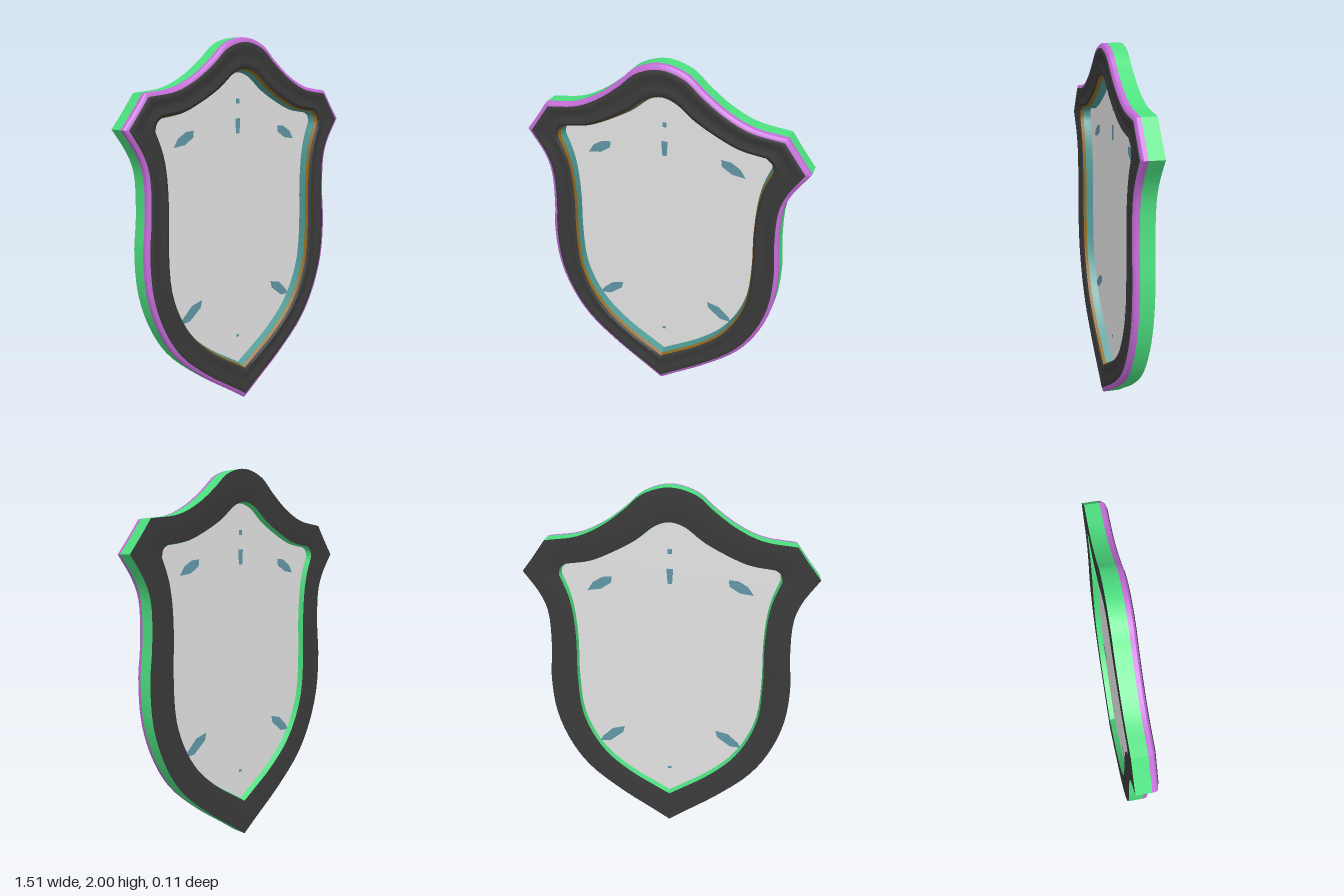
import * as THREE from 'three';
import { toCreasedNormals } from 'three/addons/utils/BufferGeometryUtils.js';

const mat = (name, color) => new THREE.MeshStandardMaterial({ name, color });
const V = ([x, y]) => new THREE.Vector3(x, y, 0);

// Samples a smooth curve through points; a crest is mirrored at x = 0 so its top stays round
function sample(points, n, crest = false) {
  const mirrored = crest ? points.slice(1).reverse().map(([x, y]) => [-x, y]) : [];
  const curve = new THREE.CatmullRomCurve3([...mirrored, ...points].map(V));
  const out = [];
  for (let i = 0; i < n; i++) out.push(curve.getPoint(crest ? 0.5 + (0.5 * i) / n : i / n));
  return out;
}

// Closed outline, clockwise from the top, from crest, shoulder and side runs of the +x half
function outline(crest, shoulder, side) {
  const half = [...sample(crest, 24, true), ...sample(shoulder, 8), ...sample(side, 36), V(side[side.length - 1])];
  const other = half.slice(1, -1).reverse().map((p) => new THREE.Vector3(-p.x, p.y, 0));
  return [...half, ...other];
}

const outer = outline(
  [[0, 2], [0.13, 1.965], [0.22, 1.89], [0.33, 1.81], [0.46, 1.75], [0.63, 1.725]],
  [[0.63, 1.725], [0.69, 1.643], [0.755, 1.56]],
  [[0.755, 1.56], [0.675, 1.44], [0.64, 1.34], [0.637, 1.13], [0.653, 0.95], [0.637, 0.73],
    [0.57, 0.53], [0.465, 0.365], [0.28, 0.2], [0.09, 0.065], [0, 0]]);
const inner = outline(
  [[0, 1.825], [0.07, 1.805], [0.17, 1.73], [0.29, 1.665], [0.4, 1.62], [0.525, 1.6]],
  [[0.525, 1.6], [0.553, 1.58], [0.56, 1.545]],
  [[0.56, 1.545], [0.525, 1.45], [0.505, 1.35], [0.495, 1.18], [0.5, 0.97], [0.485, 0.74],
    [0.425, 0.575], [0.34, 0.45], [0.21, 0.335], [0.08, 0.25], [0, 0.2]]);

// t = 0 is the outer edge of the rim, t = 1 the inner edge
const between = (i, t, z) => outer[i].clone().lerp(inner[i], t).setZ(z);

// Ring swept around the shield through profile steps [t, z]
function band(name, profile, material) {
  const n = outer.length, m = profile.length, pos = [], idx = [];
  for (let i = 0; i < n; i++) {
    for (const [t, z] of profile) pos.push(...between(i, t, z).toArray());
    for (let j = 0; j < m - 1; j++) {
      const a = i * m + j, b = ((i + 1) % n) * m + j;
      idx.push(a, a + 1, b, b, a + 1, b + 1);
    }
  }
  const geo = new THREE.BufferGeometry();
  geo.setAttribute('position', new THREE.Float32BufferAttribute(pos, 3));
  geo.setIndex(idx);
  const mesh = new THREE.Mesh(toCreasedNormals(geo, 0.6), material);
  mesh.name = name;
  return mesh;
}

function plate(name, points, z, depth, material) {
  const shape = new THREE.Shape(points.map((p) => new THREE.Vector2(p.x, p.y)));
  const geo = new THREE.ExtrudeGeometry(shape, { depth, bevelEnabled: false });
  const mesh = new THREE.Mesh(geo.translate(0, 0, z), material);
  mesh.name = name;
  return mesh;
}

export function createModel() {
  const charcoal = mat('charcoal', 0x3a3a3a);
  const green = mat('green', 0x4de080);
  const purple = mat('purple', 0xc46cd8);
  const gold = mat('gold', 0x966a1c);
  const teal = mat('teal', 0x4f9a96);
  const slate = mat('slate blue', 0x6297a8);
  const grey = mat('light grey', 0xe3e3e3);
  const group = new THREE.Group();
  group.name = 'shield';

  // Rim, layer by layer from the outer wall round to the back
  group.add(
    band('outerWall', [[0, -0.055], [0, 0.02]], green),
    band('outerTrim', [[0, 0.02], [0.008, 0.04], [0.05, 0.047], [0.14, 0.051]], purple),
    band('rimFront', [[0.14, 0.051], [0.22, 0.055], [0.32, 0.054], [0.45, 0.048], [0.58, 0.046],
      [0.7, 0.051], [0.82, 0.052], [0.91, 0.043]], charcoal),
    band('innerTrim', [[0.91, 0.043], [0.955, 0.026]], gold),
    band('innerWallFront', [[0.955, 0.026], [1.01, -0.016]], teal),
    band('innerWallBack', [[1.01, -0.016], [0.96, -0.054]], green),
    band('rimBack', [[0.96, -0.054], [0.93, -0.055], [0, -0.055]], charcoal),
  );

  // Central panel
  group.add(plate('panel', outer.map((_, i) => between(i, 0.985, 0)), -0.022, 0.008, grey));

  // Painted marks, seen on both faces of the panel
  const upper = [[0.43, 1.455], [0.4, 1.5], [0.35, 1.53], [0.3, 1.535], [0.305, 1.5], [0.36, 1.465]];
  const lower = [[0.26, 0.63], [0.33, 0.612], [0.39, 0.555], [0.405, 0.525], [0.345, 0.53], [0.27, 0.59]];
  const flip = (pts) => pts.map(([x, y]) => [-x, y]);
  const rect = (x, y, w, h) => [[x - w, y - h], [x + w, y - h], [x + w, y + h], [x - w, y + h]];
  const drop = [[-0.017, 1.585], [0.017, 1.585], [0.012, 1.505], [-0.012, 1.505]];
  const marks = [upper, flip(upper), lower, flip(lower), drop,
    rect(0, 1.675, 0.011, 0.013), rect(0, 0.362, 0.01, 0.007)];
  for (const pts of marks) {
    group.add(plate('frontMark', pts.map(V), -0.015, 0.002, slate));
    group.add(plate('backMark', pts.map(V), -0.023, 0.002, slate));
  }
  return group;
}
